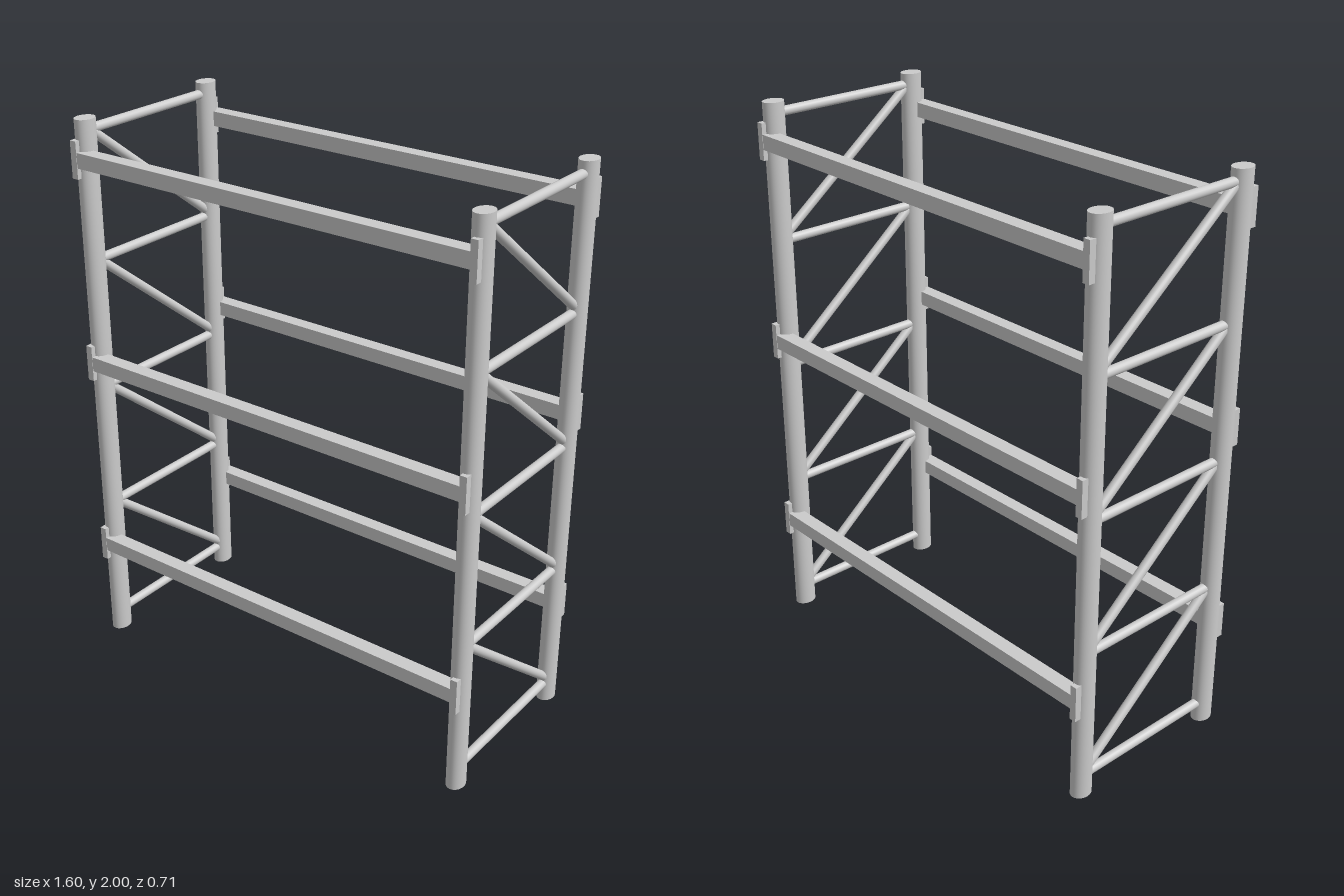
import * as THREE from 'three';

const material = new THREE.MeshStandardMaterial({ color: 0xcccccc });

const POST_X = 0.768, POST_Z = 0.3;
const UP = new THREE.Vector3(0, 1, 0);

function add(parent, geometry, name, x, y, z) {
  const mesh = new THREE.Mesh(geometry, material);
  mesh.name = name;
  mesh.position.set(x, y, z);
  parent.add(mesh);
  return mesh;
}

// Round bar between two points in the frame's own plane
function addBrace(parent, name, z1, y1, z2, y2) {
  const dir = new THREE.Vector3(0, y2 - y1, z2 - z1);
  const bar = new THREE.CylinderGeometry(0.0165, 0.0165, dir.length(), 20);
  const mesh = add(parent, bar, name, 0, (y1 + y2) / 2, (z1 + z2) / 2);
  mesh.quaternion.setFromUnitVectors(UP, dir.normalize());
}

// End frame: two oval posts joined by rungs and diagonals
function createFrame(name, x) {
  const frame = new THREE.Group();
  frame.name = name;
  frame.position.x = x;

  const post = new THREE.CylinderGeometry(1, 1, 2, 32).scale(0.032, 1, 0.04);
  add(frame, post, 'frontPost', 0, 1, POST_Z);
  add(frame, post, 'backPost', 0, 1, -POST_Z);

  const rungs = [0.069, 0.546, 1.024, 1.501, 1.958];
  rungs.forEach((y, i) => {
    addBrace(frame, 'rung', -0.28, y, 0.28, y);
    if (i > 0) addBrace(frame, 'diagonal', 0.275, y - 0.007, -0.275, rungs[i - 1] + 0.025);
  });
  return frame;
}

// Shelf beam with a hooked end plate at each post
function createBeam(name, y, side) {
  const beam = new THREE.Group();
  beam.name = name;
  const z = side * 0.328;
  add(beam, new THREE.BoxGeometry(1.53, 0.053, 0.053), 'beamBar', 0, y, z);
  const plate = new THREE.BoxGeometry(0.025, 0.13, 0.056);
  for (const s of [-1, 1]) add(beam, plate, 'endPlate', s * 0.7745, y, z);
  return beam;
}

export function createModel() {
  const rack = new THREE.Group();
  rack.name = 'shelvingRack';

  rack.add(createFrame('leftFrame', POST_X), createFrame('rightFrame', -POST_X));

  for (const y of [0.388, 1.129, 1.867]) {
    rack.add(createBeam('frontBeam', y, 1), createBeam('backBeam', y, -1));
  }
  return rack;
}
